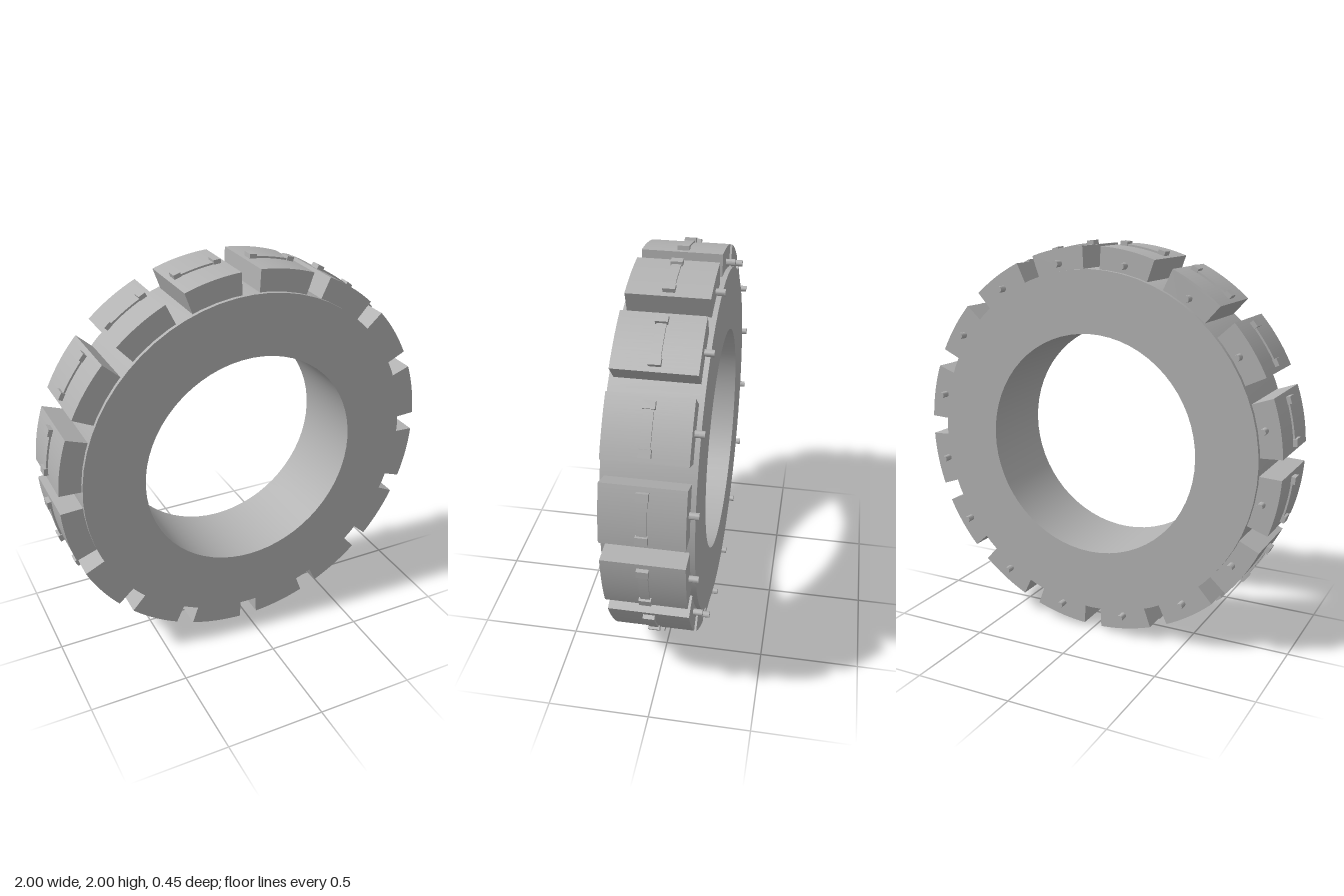
import * as THREE from 'three';
import { toCreasedNormals } from 'three/addons/utils/BufferGeometryUtils.js';

const COUNT = 16;

// Sector of an annulus centred on +y, extruded from z0 to z1
function arcBlock(rInner, rOuter, halfAngle, z0, z1, segments) {
  const mid = Math.PI / 2;
  const shape = new THREE.Shape();
  shape.absarc(0, 0, rOuter, mid - halfAngle, mid + halfAngle, false);
  shape.absarc(0, 0, rInner, mid + halfAngle, mid - halfAngle, true);
  shape.closePath();
  const geo = new THREE.ExtrudeGeometry(shape, { depth: z1 - z0, bevelEnabled: false, curveSegments: segments });
  geo.translate(0, 0, z0);
  return toCreasedNormals(geo, 0.5);
}

export function createModel() {
  const model = new THREE.Group();
  model.name = 'blockRing';
  const grey = new THREE.MeshStandardMaterial({ color: 0xb2b2b2 });
  grey.name = 'grey';

  const wheel = new THREE.Group();
  wheel.name = 'wheel';
  wheel.position.y = 1;
  model.add(wheel);

  const add = (parent, name, geo, x = 0, y = 0, z = 0) => {
    const mesh = new THREE.Mesh(geo, grey);
    mesh.name = name;
    mesh.position.set(x, y, z);
    parent.add(mesh);
    return mesh;
  };

  // Main ring: closed rectangular profile turned about z
  const profile = [[0.562, -0.203], [0.872, -0.203], [0.872, 0.223], [0.562, 0.223], [0.562, -0.203]]
    .map(([r, z]) => new THREE.Vector2(r, z));
  const ring = new THREE.LatheGeometry(profile, 64);
  ring.rotateX(Math.PI / 2);
  add(wheel, 'ring', toCreasedNormals(ring, 0.5));

  // Shared geometry of one segment
  const block = arcBlock(0.86, 0.98, 0.146, -0.18, 0.203, 8);
  const bar = arcBlock(0.97, 0.989, 0.1, -0.012, 0.032, 6);
  const grip = new THREE.BoxGeometry(0.036, 0.034, 0.056);
  const peg = toCreasedNormals(new THREE.CylinderGeometry(0.016, 0.016, 0.06, 16).rotateX(Math.PI / 2), 0.5);

  // Blocks around the rim, each with a handle on top and a peg behind
  for (let i = 0; i < COUNT; i++) {
    const segment = new THREE.Group();
    segment.name = 'segment';
    segment.rotation.z = ((i + 0.5) / COUNT) * Math.PI * 2;
    wheel.add(segment);
    add(segment, 'block', block);
    add(segment, 'handleBar', bar);
    for (const side of [-1, 1]) {
      const end = add(segment, 'handleEnd', grip, side * 0.101, 0.979, 0.01);
      end.rotation.z = -side * 0.103;
    }
    add(segment, 'peg', peg, 0, 0.908, -0.195);
  }
  return model;
}
